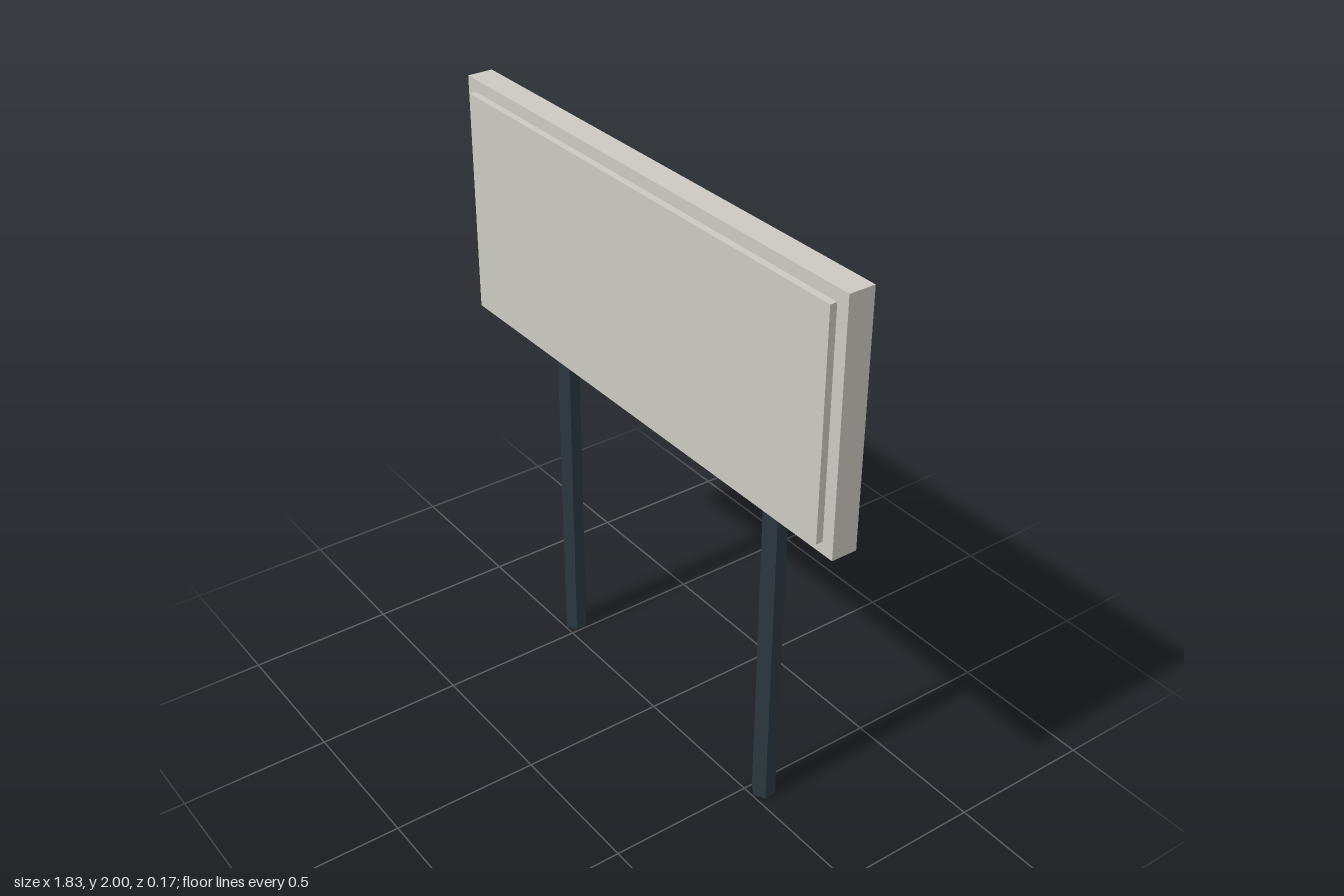
import * as THREE from 'three';

export function createModel() {
  const model = new THREE.Group();
  model.name = 'billboard';

  const boardGrey = new THREE.MeshStandardMaterial({ color: 0xcbc9c1 });
  boardGrey.name = 'warm grey';
  const postSteel = new THREE.MeshStandardMaterial({ color: 0x2d3840 });
  postSteel.name = 'dark steel';

  const add = (name, geometry, material, x, y, z) => {
    const mesh = new THREE.Mesh(geometry, material);
    mesh.name = name;
    mesh.position.set(x, y, z);
    model.add(mesh);
  };

  // Board with a slightly smaller raised panel on its front
  add('board', new THREE.BoxGeometry(1.826, 0.82, 0.087), boardGrey, 0, 1.59, 0.0185);
  add('frontPanel', new THREE.BoxGeometry(1.74, 0.738, 0.025), boardGrey, 0, 1.59, 0.0725);

  // Hexagonal posts, corners facing front and back, sunk into the board's rear
  const postHeight = 1.305;
  const post = new THREE.CylinderGeometry(0.04, 0.04, postHeight, 6).toNonIndexed();
  post.computeVertexNormals();
  for (const [name, side] of [['leftPost', 1], ['rightPost', -1]]) {
    add(name, post, postSteel, side * 0.543, postHeight / 2, -0.045);
  }

  return model;
}
